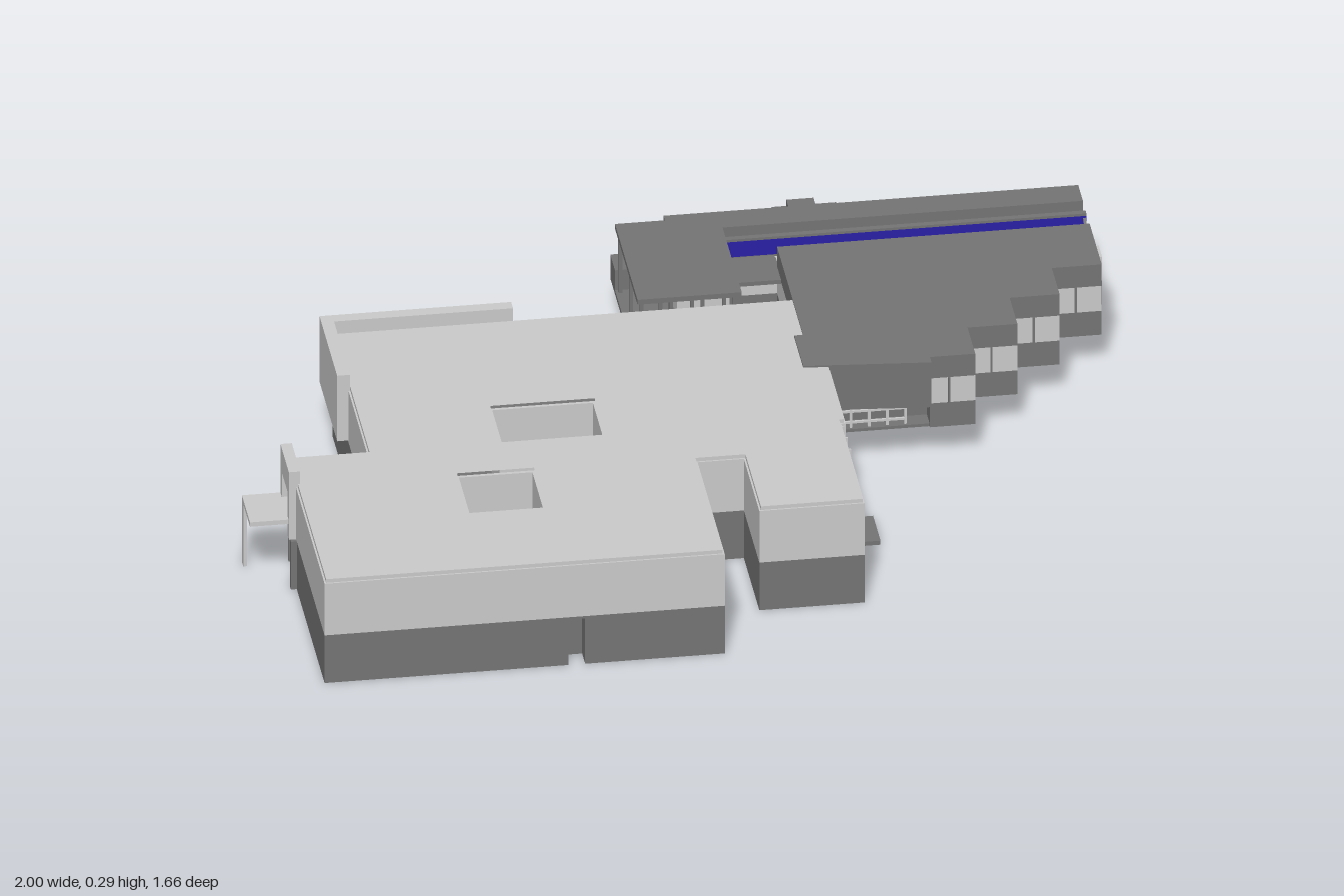
import * as THREE from 'three';

const paint = (color) => new THREE.MeshStandardMaterial({ color });
const LIGHT = paint(0xcccccc), DARK = paint(0x757575), BLUE = paint(0x0a8ae0);
const INDIGO = paint(0x2a20a8), RED = paint(0xc03020), GREEN = paint(0x50b030);

export function createModel() {
  const model = new THREE.Group();

  const add = (parent, name, geo, mat) => {
    const m = new THREE.Mesh(geo, mat);
    m.name = name;
    parent.add(m);
  };
  const group = (name) => {
    const g = new THREE.Group();
    g.name = name;
    model.add(g);
    return g;
  };
  // box from its limits
  const box = (p, name, mat, x0, x1, y0, y1, z0, z1) => {
    const geo = new THREE.BoxGeometry(x1 - x0, y1 - y0, z1 - z0);
    geo.translate((x0 + x1) / 2, (y0 + y1) / 2, (z0 + z1) / 2);
    add(p, name, geo, mat);
  };
  // flat prism over a plan outline of [x, z] points
  const slab = (p, name, mat, pts, y0, y1, holes = []) => {
    const flat = (a) => a.map(([x, z]) => new THREE.Vector2(x, -z));
    const shape = new THREE.Shape(flat(pts));
    holes.forEach((h) => shape.holes.push(new THREE.Path(flat(h))));
    const geo = new THREE.ExtrudeGeometry(shape, { depth: y1 - y0, bevelEnabled: false });
    geo.rotateX(-Math.PI / 2).translate(0, y0, 0);
    add(p, name, geo, mat);
  };
  // thin upright walls along a plan path
  const walls = (p, name, mat, pts, y0, y1, t = 0.008) => {
    for (let i = 0; i + 1 < pts.length; i++) {
      const [ax, az] = pts[i], [bx, bz] = pts[i + 1];
      const dx = bx - ax, dz = bz - az;
      const geo = new THREE.BoxGeometry(Math.hypot(dx, dz) + t, y1 - y0, t);
      geo.rotateY(-Math.atan2(dz, dx)).translate((ax + bx) / 2, (y0 + y1) / 2, (az + bz) / 2);
      add(p, name, geo, mat);
    }
  };
  const rect = (x0, x1, z0, z1) => [[x0, z0], [x1, z0], [x1, z1], [x0, z1]];
  const loop = (pts) => [...pts, pts[0]];

  // ---- main hall ----
  const hall = group('mainHall');
  const plan = [[-0.72, 0.29], [-0.72, -0.23], [0.325, -0.23], [0.325, 0.30], [0.315, 0.30], [0.315, 0.65],
    [0.09, 0.65], [0.09, 0.42], [-0.02, 0.42], [-0.02, 0.825], [-0.895, 0.825], [-0.895, 0.29]];
  const courtA = rect(-0.43, -0.20, 0.13, 0.29), courtB = rect(-0.545, -0.375, 0.41, 0.585);
  slab(hall, 'roof', LIGHT, plan, 0.247, 0.259, [courtA, courtB]);
  slab(hall, 'upperFloor', DARK, plan, 0.112, 0.12, [courtA]);
  walls(hall, 'upperWall', LIGHT, plan, 0.12, 0.25);
  walls(hall, 'courtyardWall', LIGHT, loop(courtA), 0.12, 0.25);
  walls(hall, 'courtyardWall', LIGHT, loop(courtB), 0.12, 0.25);
  box(hall, 'courtyardDeck', DARK, -0.37, -0.28, 0.112, 0.122, 0.16, 0.27);
  box(hall, 'courtyardBluePanel', BLUE, -0.43, -0.365, 0.112, 0.124, 0.13, 0.29);

  // short side wall beside the porch, with an open window
  const sideWall = [[-0.895, 0.29], [-0.72, 0.29]];
  walls(hall, 'sideWallBelow', LIGHT, sideWall, 0.12, 0.165);
  walls(hall, 'sideWallAbove', LIGHT, sideWall, 0.21, 0.25);
  for (const x of [-0.895, -0.76]) box(hall, 'sideWallJamb', LIGHT, x, x + 0.04, 0.165, 0.21, 0.286, 0.294);

  // base walls, open at the side doors and at the front door recess
  walls(hall, 'baseWall', DARK, [[0.325, 0.30], [0.325, -0.23], [-0.72, -0.23], [-0.72, 0.29], [-0.895, 0.29]], 0, 0.12);
  walls(hall, 'baseWall', DARK, [[-0.895, 0.41], [-0.895, 0.825], [-0.365, 0.825], [-0.365, 0.78], [-0.32, 0.78],
    [-0.32, 0.825], [-0.02, 0.825], [-0.02, 0.42], [0.09, 0.42], [0.09, 0.65], [0.315, 0.65], [0.315, 0.41]], 0, 0.12);
  // light lining inside the base
  walls(hall, 'baseLining', LIGHT, [[0.319, 0.29], [0.319, -0.224], [-0.714, -0.224], [-0.714, 0.29]], 0.001, 0.112, 0.006);
  walls(hall, 'baseLining', LIGHT, [[-0.889, 0.42], [-0.889, 0.819], [-0.37, 0.819]], 0.001, 0.112, 0.006);
  walls(hall, 'baseLining', LIGHT, [[-0.315, 0.819], [-0.026, 0.819], [-0.026, 0.42]], 0.001, 0.112, 0.006);
  walls(hall, 'baseLining', LIGHT, [[0.096, 0.43], [0.096, 0.644], [0.309, 0.644], [0.309, 0.42]], 0.001, 0.112, 0.006);
  // ground floor corridor and partitions
  walls(hall, 'corridorWall', DARK, [[-0.895, 0.415], [0.315, 0.415]], 0, 0.112);
  walls(hall, 'partition', LIGHT, [[-0.72, 0.10], [0.325, 0.10]], 0, 0.112);
  walls(hall, 'partition', LIGHT, [[-0.55, 0.415], [-0.55, 0.60]], 0, 0.112);
  for (const x of [-0.45, 0.1]) walls(hall, 'partition', LIGHT, [[x, -0.23], [x, 0.10]], 0, 0.112);

  // raised L-shaped screen at the back corner
  walls(hall, 'roofScreen', LIGHT, [[-0.735, -0.01], [-0.735, -0.245], [-0.34, -0.245]], 0.125, 0.29, 0.028);

  // side entrance: ground slab, window frame and sill
  box(hall, 'entranceSlab', DARK, 0.315, 0.39, 0, 0.01, 0.30, 0.41);
  for (const z of [0.31, 0.36, 0.41]) box(hall, 'entranceMullion', LIGHT, 0.315, 0.325, 0.145, 0.247, z - 0.002, z + 0.002);
  box(hall, 'entranceSill', LIGHT, 0.315, 0.325, 0.145, 0.15, 0.31, 0.41);
  box(hall, 'wallSill', LIGHT, 0.325, 0.332, 0.146, 0.152, 0.06, 0.30);

  // side porch with a framed panel
  const porch = group('sidePorch');
  box(porch, 'porchRoof', LIGHT, -1, -0.89, 0.157, 0.168, 0.28, 0.40);
  box(porch, 'porchPost', LIGHT, -1, -0.992, 0, 0.157, 0.28, 0.30);
  box(porch, 'porchPanelTop', LIGHT, -0.915, -0.89, 0.23, 0.29, 0.28, 0.405);
  for (const z of [0.28, 0.385]) box(porch, 'porchPanelSide', LIGHT, -0.915, -0.89, 0.12, 0.23, z, z + 0.02);
  box(porch, 'porchDoorJamb', DARK, -0.912, -0.895, 0, 0.12, 0.40, 0.415);

  // ---- stepped office wing ----
  const wing = group('officeWing');
  const steps = [[0.29, -0.46], [0.98, -0.46], [0.98, -0.28], [0.87, -0.28], [0.87, -0.165], [0.76, -0.165],
    [0.76, -0.05], [0.65, -0.05], [0.65, 0.065], [0.55, 0.065]];
  const lower = [...steps, [0.55, 0.02], [0.335, 0.02], [0.335, -0.235], [0.29, -0.235]];
  slab(wing, 'lowerBand', DARK, lower, 0.085, 0.145);
  slab(wing, 'windowBand', LIGHT, lower, 0.145, 0.208);
  slab(wing, 'roofBand', DARK, [...steps, [0.335, 0.06], [0.335, -0.07], [0.29, -0.07]], 0.208, 0.262);
  slab(wing, 'cornerBay', DARK, [[0.27, -0.07], [0.55, -0.07], [0.55, 0.09], [0.27, 0.065]], 0.15, 0.263);
  for (const [x, z] of [[0.65, -0.05], [0.76, -0.16]])
    box(wing, 'redTrim', RED, x - 0.003, x + 0.001, 0.203, 0.208, z, z + 0.10);
  // railing under the corner bay
  for (const y of [0.103, 0.13]) box(wing, 'rail', LIGHT, 0.33, 0.5, y, y + 0.005, 0.05, 0.055);
  for (let i = 0; i < 5; i++) box(wing, 'railPost', LIGHT, 0.335 + i * 0.04, 0.341 + i * 0.04, 0.088, 0.15, 0.048, 0.054);
  box(wing, 'bayFloor', DARK, 0.33, 0.55, 0.085, 0.092, 0.02, 0.06);
  // window mullions on the stepped fronts
  for (const [x, z] of [[0.59, 0.065], [0.70, -0.05], [0.81, -0.165], [0.92, -0.28]])
    box(wing, 'mullion', DARK, x, x + 0.005, 0.145, 0.208, z - 0.004, z + 0.002);

  // ---- ridge skylight ----
  const sky = group('skylight');
  box(sky, 'galleryBase', DARK, 0.185, 0.98, 0.085, 0.145, -0.625, -0.46);
  box(sky, 'galleryBody', LIGHT, 0.185, 0.98, 0.145, 0.208, -0.625, -0.46);
  // sloped strip between two points in the side section
  const pane = (name, mat, x0, x1, z0, y0, z1, y1, t) => {
    const geo = new THREE.BoxGeometry(x1 - x0, t, Math.hypot(z1 - z0, y1 - y0));
    geo.rotateX(-Math.atan2(y1 - y0, z1 - z0)).translate((x0 + x1) / 2, (y0 + y1) / 2, (z0 + z1) / 2);
    add(sky, name, geo, mat);
  };
  pane('backGlazing', LIGHT, 0.185, 0.98, -0.56, 0.225, -0.52, 0.25, 0.004);
  for (let i = 0; i <= 15; i++) {
    const x = 0.185 + i * 0.0528;
    box(sky, 'floorBar', DARK, x, x + 0.003, 0.208, 0.21, -0.505, -0.46);
    pane('glazingBar', DARK, x, x + 0.003, -0.56, 0.227, -0.52, 0.252, 0.005);
  }
  pane('endBrace', DARK, 0.972, 0.978, -0.505, 0.25, -0.46, 0.214, 0.005);
  for (const x of [0.29, 0.4, 0.69, 0.87]) pane('greenBar', GREEN, x, x + 0.004, -0.56, 0.229, -0.52, 0.254, 0.004);
  box(sky, 'ridgeBeam', DARK, 0.185, 0.98, 0.208, 0.26, -0.522, -0.512);
  box(sky, 'ridgeCap', DARK, 0.185, 0.98, 0.254, 0.26, -0.512, -0.508);
  box(sky, 'ridgeStripe', INDIGO, 0.185, 0.98, 0.215, 0.254, -0.512, -0.509);
  box(sky, 'endPanel', LIGHT, 0.978, 1, 0.145, 0.205, -0.46, -0.41);
  box(sky, 'endPanelBase', DARK, 0.978, 1, 0.085, 0.145, -0.46, -0.41);

  // ---- back roof and open canopy ----
  const back = group('backRange');
  slab(back, 'canopyRoof', DARK, [[-0.045, -0.61], [0.065, -0.61], [0.065, -0.63], [0.98, -0.63], [0.98, -0.56],
    [0.185, -0.56], [0.185, -0.275], [-0.045, -0.275]], 0.25, 0.262);
  box(back, 'linkRoof', DARK, 0.185, 0.29, 0.203, 0.213, -0.51, -0.40);
  box(back, 'roofFascia', DARK, 0.185, 0.98, 0.208, 0.255, -0.635, -0.56);
  box(back, 'roofVent', DARK, 0.34, 0.40, 0.22, 0.262, -0.66, -0.63);
  box(back, 'canopyFloor', DARK, -0.045, 0.185, 0.085, 0.095, -0.61, -0.275);
  box(back, 'linkFloor', DARK, 0.185, 0.29, 0.085, 0.095, -0.46, -0.40);
  box(back, 'canopyRoom', LIGHT, 0.07, 0.185, 0.095, 0.25, -0.61, -0.46);
  for (const x of [-0.035, 0.03, 0.10, 0.17])
    for (const z of [-0.6, -0.44, -0.285]) box(back, 'canopyPost', DARK, x - 0.004, x + 0.004, 0.09, 0.25, z - 0.004, z + 0.004);
  box(back, 'cornerPlanter', DARK, -0.045, 0.065, 0.085, 0.145, -0.68, -0.61);

  // terrace of open trays with splayed sides along the back
  box(back, 'terraceBase', DARK, 0.065, 0.98, 0.085, 0.095, -0.8, -0.62);
  box(back, 'terraceFloor', LIGHT, 0.07, 0.975, 0.095, 0.1, -0.795, -0.62);
  const trays = [[0.07, 0.315, 0.345, 0.07, -0.64], [0.395, 0.535, 0.565, 0.365, -0.645],
    [0.605, 0.825, 0.83, 0.59, -0.645], [0.88, 0.975, 0.975, 0.88, -0.71]];
  for (const [a, b, c, d, z] of trays) {
    slab(back, 'trayFloor', DARK, [[a, -0.795], [b, -0.795], [c, z], [d, z]], 0.1, 0.106);
    walls(back, 'trayWall', DARK, [[d, z], [a, -0.795], [b, -0.795], [c, z]], 0.085, 0.145);
  }
  box(back, 'trayLink', DARK, 0.315, 0.395, 0.1, 0.106, -0.795, -0.66);
  box(back, 'terraceParapet', DARK, 0.065, 0.98, 0.085, 0.14, -0.8, -0.792);
  walls(back, 'terraceRail', DARK, [[0.335, -0.80], [0.335, -0.832], [0.475, -0.832]], 0.09, 0.145, 0.003);
  box(back, 'terraceEndWall', DARK, 0.97, 0.98, 0.085, 0.145, -0.71, -0.62);
  box(back, 'terraceEnd', DARK, 0.98, 1, 0.085, 0.143, -0.68, -0.625);
  for (let i = 0; i < 8; i++) box(back, 'wallPier', LIGHT, 0.2 + i * 0.105, 0.215 + i * 0.105, 0.1, 0.208, -0.632, -0.62);

  return model;
}
